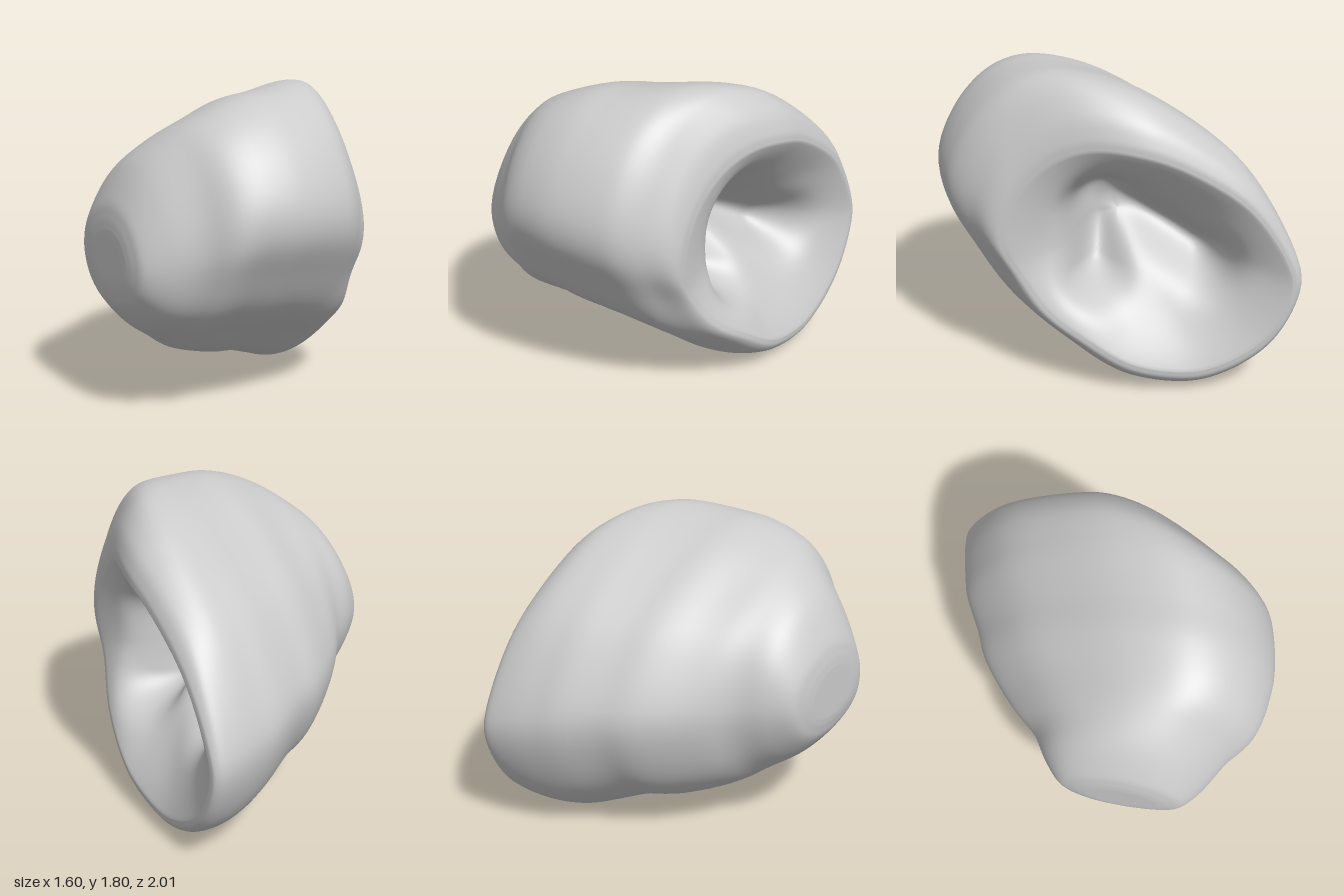
import * as THREE from 'three';

// Outline of a cross-section in (z, y), counter-clockwise seen from +x
const OUTLINE = [
  [0.37, 1.785], [0.62, 1.71], [0.85, 1.5], [1, 1.2], [1, 1.0], [0.87, 0.75], [0.7, 0.5],
  [0.45, 0.3], [0.1, 0.07], [-0.3, 0], [-0.55, 0.07], [-0.8, 0.25], [-0.95, 0.5],
  [-1, 0.73], [-0.95, 0.9], [-0.7, 1.27], [-0.4, 1.51], [0, 1.72],
];

// Extents of the body along its length: x, zMin, zMax, yMin, yMax
const SECTIONS = [
  [-0.80, 0.06, 0.48, 0.75, 1.05], [-0.79, -0.02, 0.55, 0.69, 1.13], [-0.76, -0.11, 0.63, 0.61, 1.23],
  [-0.65, -0.21, 0.73, 0.48, 1.42], [-0.50, -0.31, 0.83, 0.37, 1.56], [-0.35, -0.47, 0.95, 0.27, 1.65],
  [-0.10, -0.68, 0.995, 0.175, 1.74], [0.10, -0.78, 0.985, 0.135, 1.765], [0.30, -0.89, 0.94, 0.06, 1.785],
  [0.45, -0.94, 0.88, 0.005, 1.77], [0.60, -0.98, 0.81, 0, 1.72], [0.73, -1.00, 0.74, 0.04, 1.61],
  [0.785, -0.98, 0.68, 0.09, 1.50], [0.795, -0.94, 0.62, 0.14, 1.43],
];

const smooth = THREE.MathUtils.smoothstep;
const lerp = THREE.MathUtils.lerp;
const AROUND = 112, ALONG = 78, INWARD = 44;

// Hooked valley in the hollow, as (z, y) corners
const VALLEY = [[0.12, 0.66], [0.08, 1.04], [-0.47, 0.72]];

// Depth of the valley from 0 to 1, its two arms blended smoothly
function valleyDepth(z, y) {
  let rest = 1;
  for (let i = 0; i < VALLEY.length - 1; i++) {
    const [az, ay] = VALLEY[i], [bz, by] = VALLEY[i + 1];
    const dz = bz - az, dy = by - ay;
    const t = THREE.MathUtils.clamp(((z - az) * dz + (y - ay) * dy) / (dz * dz + dy * dy), 0, 1);
    const distance = Math.hypot(z - az - t * dz, y - ay - t * dy);
    rest *= 1 - Math.exp(-((distance / 0.145) ** 2));
  }
  return 1 - rest;
}

function buildBody() {
  const outline = new THREE.CatmullRomCurve3(
    OUTLINE.map(([z, y]) => new THREE.Vector3((z + 1) / 2, y / 1.785, 0)), true, 'centripetal',
  ).getSpacedPoints(AROUND).slice(0, AROUND);
  const spread = (a, b) => new THREE.CatmullRomCurve3(
    SECTIONS.map((s) => new THREE.Vector3(s[0], s[a], s[b])), false, 'catmullrom');
  const depthCurve = spread(1, 2), heightCurve = spread(3, 4);

  const rings = [];
  // Outer skin, swept from the blunt end to the rim
  for (let i = 0; i <= ALONG; i++) {
    const d = depthCurve.getPoint(i / ALONG), h = heightCurve.getPoint(i / ALONG);
    const flare = smooth(d.x, 0.2, 0.7), blunt = 1 - smooth(d.x, -0.75, -0.2);
    rings.push(outline.map((p) => {
      // The tilted outline turns into a circle with a low front towards the blunt end
      const angle = Math.atan2(p.y - 0.5, p.x - 0.5);
      const u = lerp(p.x, 0.5 + 0.5 * Math.cos(angle), 0.85 * blunt);
      let v = lerp(p.y, 0.5 + 0.5 * Math.sin(angle), 0.85 * blunt);
      v += 0.14 * flare * (1 - u) * Math.max(0, v - 0.45) - 0.45 * blunt * u * v * (1 - v);
      const z = lerp(d.y, d.z, u), y = lerp(h.y, h.z, v);
      // The upper front of the rim is set back
      const setBack = 0.17 * smooth(d.x, 0.3, 0.8) * smooth(z, -0.2, 0.6) * smooth(y, 0, 0.8);
      return [d.x - setBack, y, z];
    }));
  }
  // Blunt end cap
  const caps = [0, 0.35, 0.7].map((k) => rings[0].map(([x, y, z]) => [x, lerp(0.88, y, k), lerp(0.27, z, k)]));
  // Hollow, drawn from the rim inward, shallower towards the front
  const rim = rings[rings.length - 1];
  for (let i = 1; i <= INWARD; i++) {
    const k = i / INWARD;
    rings.push(rim.map(([rx, ry, rz]) => {
      const y = lerp(ry, 0.9, k), z = lerp(rz, -0.02, k);
      const bowl = lerp(0.26, 0.12, smooth(z, -0.05, 0.4)) * (smooth(k, -0.15, 0.85) - smooth(0, -0.15, 0.85));
      const sink = bowl + 0.27 * valleyDepth(z, y) * smooth(k, 0, 0.4);
      return [lerp(rx, 0.69, k) - sink, y, z];
    }));
  }
  rings.unshift(...caps);

  const index = [];
  for (let i = 0; i < rings.length - 1; i++) {
    for (let j = 0; j < AROUND; j++) {
      const n = (j + 1) % AROUND;
      const a = i * AROUND + j, b = i * AROUND + n, c = b + AROUND, e = a + AROUND;
      index.push(a, b, c, a, c, e);
    }
  }
  const geometry = new THREE.BufferGeometry();
  geometry.setAttribute('position', new THREE.Float32BufferAttribute(rings.flat(2), 3));
  geometry.setIndex(index);
  geometry.computeVertexNormals();
  return geometry;
}

export function createModel() {
  const group = new THREE.Group();
  group.name = 'hollowStone';
  const body = new THREE.Mesh(buildBody(), new THREE.MeshStandardMaterial({ color: 0xcccccc }));
  body.name = 'stoneBody';
  group.add(body);
  return group;
}
